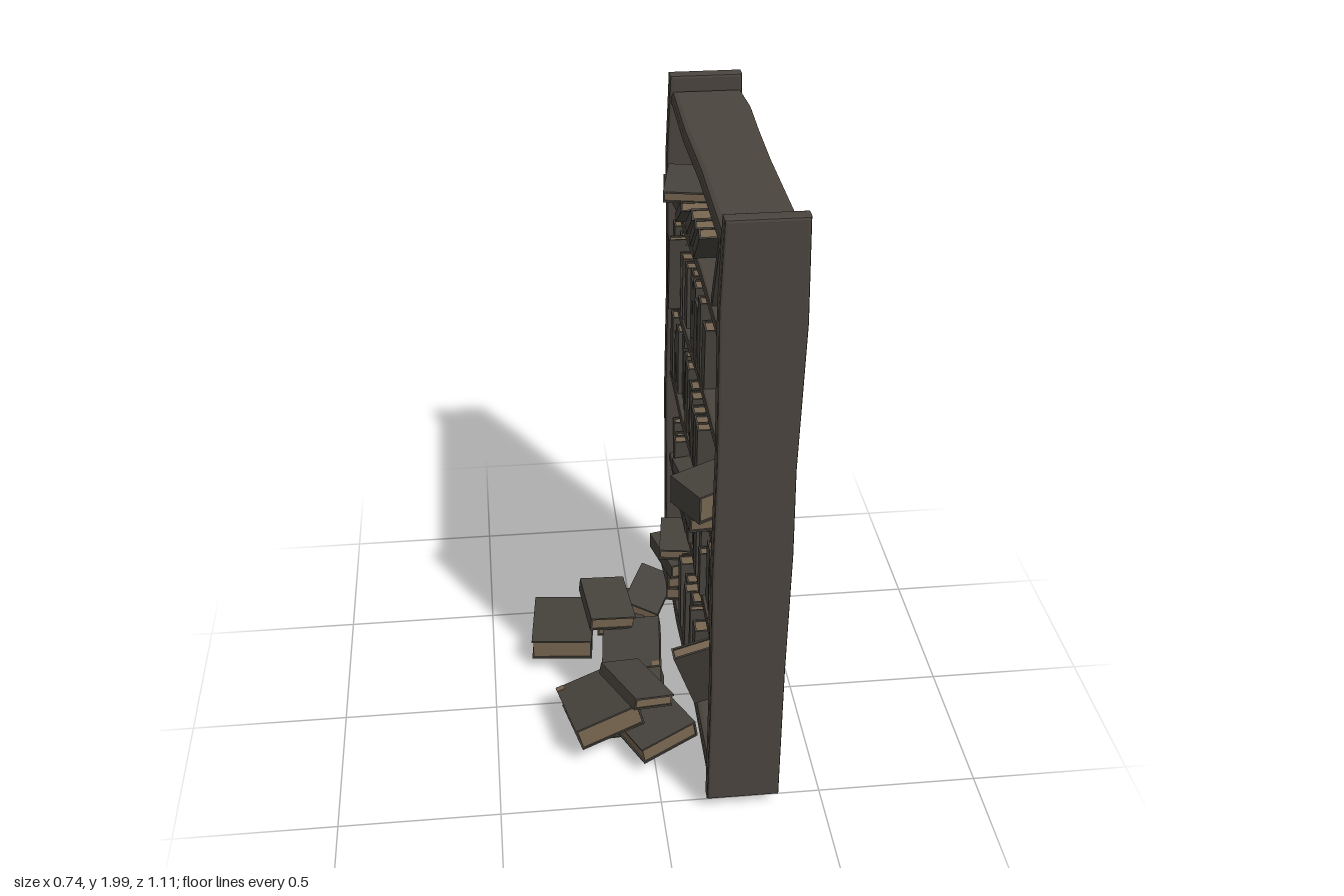
import * as THREE from 'three';

const wood = new THREE.MeshStandardMaterial({ name: 'old dark wood', color: 0x4a443d });
const cover = new THREE.MeshStandardMaterial({ name: 'book cover', color: 0x46423c });
const paper = new THREE.MeshStandardMaterial({ name: 'aged paper', color: 0x75644f });

let seed = 7;
const rnd = (a, b) => {
  seed = (seed * 16807) % 2147483647;
  return a + (b - a) * (seed / 2147483647);
};

function box(parent, name, mat, sx, sy, sz, x, y, z) {
  const m = new THREE.Mesh(new THREE.BoxGeometry(sx, sy, sz), mat);
  m.name = name;
  m.position.set(x, y, z);
  parent.add(m);
  return m;
}

// Bevelled slab from an outline, centred on its thickness
function slab(parent, name, pts, thick, bevel) {
  const shape = new THREE.Shape(pts.map(([x, y]) => new THREE.Vector2(x, y)));
  const g = new THREE.ExtrudeGeometry(shape, {
    depth: thick - 2 * bevel, bevelThickness: bevel, bevelSize: bevel,
    bevelOffset: -bevel, bevelSegments: 2,
  });
  g.translate(0, 0, bevel - thick / 2);
  const m = new THREE.Mesh(g, wood);
  m.name = name;
  parent.add(m);
  return m;
}

// Flat-lying book: w deep (spine at -x), t thick, l long; boards overhang the pages
function book(parent, w, t, l, pos, rot = [0, 0, 0], spineOut = true) {
  const b = new THREE.Group();
  b.name = 'book';
  const k = Math.min(0.006, t * 0.16), o = 0.005, s = spineOut ? -1 : 1;
  box(b, 'topCover', cover, w, k, l, 0, t / 2 - k / 2, 0);
  box(b, 'bottomCover', cover, w, k, l, 0, -t / 2 + k / 2, 0);
  box(b, 'spine', cover, k, t - 2 * k, l, s * (w / 2 - k / 2), 0, 0);
  box(b, 'pages', paper, w - k - o, t - 2 * k, l - 2 * o, -s * (k - o) / 2, 0, 0);
  b.position.set(...pos);
  b.rotation.set(...rot, 'YXZ');
  parent.add(b);
  return b;
}

// Upright book standing on height y, tipped by lean towards +z
function upright(parent, z, y, t, h, d, lean = 0, x = 0.145, spineOut = true) {
  const rise = (h / 2) * Math.cos(lean) + (t / 2) * Math.abs(Math.sin(lean));
  return book(parent, d, t, h, [x + d / 2, y + rise, z], [Math.PI / 2 + lean, 0, 0], spineOut);
}

// Run of upright books from z0 to z1
function row(parent, y, z0, z1, hMin, hMax) {
  let z = z0;
  while (z < z1) {
    const t = rnd(0.028, 0.062), lean = rnd(0, 1) < 0.3 ? rnd(-0.1, 0.1) : rnd(-0.02, 0.02);
    const h = rnd(hMin, hMax);
    z += Math.abs(lean) * h * 0.45;
    upright(parent, z + t / 2, y, t, h, rnd(0.13, 0.165), lean, rnd(0.132, 0.157), rnd(0, 1) < 0.8);
    z += t + Math.abs(lean) * h * 0.45 + rnd(0.001, 0.008);
  }
}

export function createModel() {
  seed = 7;
  const model = new THREE.Group();
  model.name = 'bookcase';

  // Slightly warped upright sides
  const sideOutline = [[0.13, 0.06], [0.354, 0.06], [0.352, 0.55], [0.356, 0.97], [0.351, 1.25],
    [0.36, 1.7], [0.352, 2], [0.133, 2], [0.125, 1.75], [0.13, 1.3], [0.126, 0.9], [0.131, 0.5]];
  for (const s of [-1, 1]) {
    const side = slab(model, s < 0 ? 'rightSide' : 'leftSide', sideOutline, 0.046, 0.008);
    side.position.set(s < 0 ? -0.002 : 0.006, 0, s * 0.531);
  }
  box(model, 'wornChip', paper, 0.006, 0.045, 0.03, 0.353, 0.975, -0.53);
  box(model, 'wornChip', paper, 0.006, 0.03, 0.02, 0.35, 0.64, -0.535);

  // Back panel, set in from the board edges
  box(model, 'backPanel', wood, 0.014, 1.76, 1.03, 0.328, 1.05, 0);

  // Boards: outline in x and z, laid flat
  const board = (name, y, thick, back, front, bevel) => {
    const pts = [[front, -0.515], [front - 0.004, -0.2], [front + 0.003, 0.1], [front, 0.515],
      [back - 0.004, 0.515], [back - 0.005, 0.05], [back, -0.2], [back + 0.006, -0.37], [back - 0.003, -0.515]].reverse();
    const m = slab(model, name, pts, thick, bevel);
    m.rotation.x = Math.PI / 2;
    m.position.y = y;
  };
  board('topBoard', 1.925, 0.056, 0.352, 0.136, 0.016);
  board('bottomBoard', 0.17, 0.056, 0.352, 0.136, 0.016);
  for (const y of [0.645, 0.978, 1.312, 1.64]) board('shelf', y, 0.034, 0.349, 0.14, 0.008);

  const books = new THREE.Group();
  books.name = 'books';
  model.add(books);

  // Top shelf: tumbled books and one big leaning volume
  const t5 = 1.656;
  book(books, 0.17, 0.045, 0.24, [0.205, t5 + 0.024, -0.36], [0, 0.1, 0]);
  book(books, 0.16, 0.035, 0.2, [0.18, t5 + 0.066, -0.34], [0.04, -0.2, 0]);
  [-0.16, -0.08, 0, 0.08].forEach((z, i) => upright(books, z, t5, 0.028 + 0.006 * (i % 2), 0.15, 0.14, 0.95 - i * 0.06, 0.135 - 0.02 * (i < 1)));
  upright(books, 0.38, t5, 0.025, 0.24, 0.165, 0.45, 0.145);

  // Filled rows
  row(books, 1.328, -0.5, 0.2, 0.18, 0.25);
  upright(books, -0.3, 1.328, 0.03, 0.24, 0.17, 0.05, 0.105);
  row(books, 0.994, -0.5, 0.18, 0.17, 0.23);
  book(books, 0.21, 0.045, 0.16, [0.182, 1.018, 0.36], [0, 0.06, 0]);
  book(books, 0.2, 0.09, 0.14, [0.157, 1.092, 0.374], [0, 0.5, 0]);
  row(books, 0.661, -0.13, 0.42, 0.15, 0.22);
  row(books, 0.661, -0.5, -0.4, 0.12, 0.15);
  [0, 1].forEach((i) => book(books, 0.16, 0.04, 0.17, [0.22, 0.682 + i * 0.042, -0.27], [0, 0.15 * i, 0]));

  // Bottom shelf: pile, upright run and a volume leaning forward off its corner
  const t1 = 0.199;
  [[0.17, 0.05, 0.22], [0.18, 0.05, 0.2], [0.19, 0.055, 0.21], [0.16, 0.04, 0.19]].reduce((y, [w, t, l], i) => {
    book(books, w, t, l, [0.205 - 0.01 * i, y + t / 2, -0.38], [0.03 * (i % 2), 0.2 * (i % 3) - 0.15, 0]);
    return y + t + 0.004;
  }, t1);
  row(books, t1, -0.24, 0.15, 0.22, 0.26);
  const tipped = book(books, 0.18, 0.04, 0.28, [0.175, 0.37, 0.3]);
  tipped.rotation.set(Math.PI / 2 + 0.3, 0, 0.3, 'ZXY');

  // Heap spilled in front: width, thickness, length, position, turn
  const spilled = new THREE.Group();
  spilled.name = 'spilledBooks';
  model.add(spilled);
  [
    [0.205, 0.075, 0.25, [-0.255, 0.1, -0.293], [0, -0.1, 0]],
    [0.155, 0.05, 0.225, [-0.1, 0.185, -0.305], [0.04, 0.1, -0.1]],
    [0.16, 0.06, 0.2, [-0.045, 0.1, -0.36], [0, -0.13, 0]],
    [0.13, 0.045, 0.22, [0.055, 0.15, -0.395], [0.05, -0.41, -0.25]],
    [0.195, 0.055, 0.245, [-0.03, 0.12, -0.128], [0.08, -0.1, 0.12]],
    [0.24, 0.06, 0.22, [-0.07, 0.09, 0.115], [0.25, -0.1, 0.2]],
    [0.215, 0.08, 0.245, [-0.165, 0.14, 0.175], [-0.08, 0.21, 0.25]],
    [0.14, 0.04, 0.24, [-0.045, 0.215, 0.168], [-0.1, 0.4, -0.25]],
    [0.2, 0.06, 0.2, [0.005, 0.105, 0.25], [-0.05, 0.42, 0.15]],
  ].forEach(([w, t, l, p, r], i) => {
    const b = book(spilled, w, t, l, p, r, i === 1 || i === 7);
    // Scuffed cover corners
    if (i === 4 || i === 6) {
      for (const s of [-1, 1]) box(b, 'scuff', paper, 0.026, 0.003, 0.022, s * (w / 2 - 0.013), t / 2, (i === 6 ? -1 : s) * (l / 2 - 0.011));
    }
  });

  return model;
}
